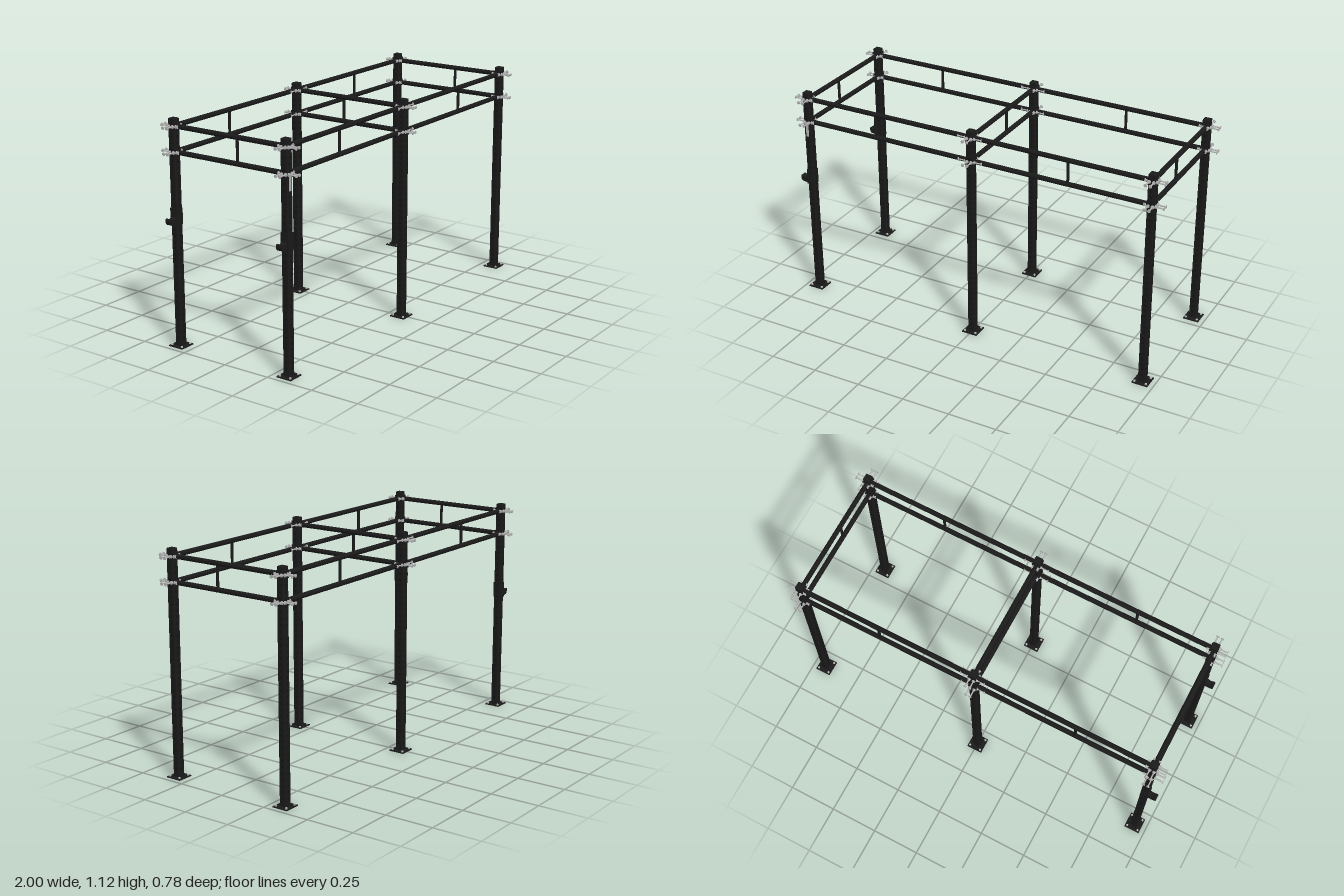
import * as THREE from 'three';
import { mergeGeometries } from 'three/addons/utils/BufferGeometryUtils.js';
import { RoundedBoxGeometry } from 'three/addons/geometries/RoundedBoxGeometry.js';

const PX = [-0.935, 0, 0.935], PZ = [0.324, -0.324];
const LEVELS = [1.082, 0.959];
const POST = 0.037, PIPE = 0.012, H = 1.12;

export function createModel() {
  const root = new THREE.Group();
  root.name = 'pullUpRig';
  const black = new THREE.MeshStandardMaterial({ color: 0x1a1a1a });
  black.name = 'blackPowderCoat';
  const dark = new THREE.MeshStandardMaterial({ color: 0x131313 });
  dark.name = 'darkHole';
  const steel = new THREE.MeshStandardMaterial({ color: 0xb4b4b4 });
  steel.name = 'zincSteel';

  const add = (name, geo, mat, x = 0, y = 0, z = 0, parent = root) => {
    const m = new THREE.Mesh(geo, mat);
    m.name = name;
    m.position.set(x, y, z);
    parent.add(m);
    return m;
  };
  const box = (w, h, d, x = 0, y = 0, z = 0) => new THREE.BoxGeometry(w, h, d).translate(x, y, z);
  const pipe = (r, len) => new THREE.CylinderGeometry(r, r, len, 20);

  // One row of adjustment holes on the +x face of a post
  const holeRow = (rise) => {
    const holes = [];
    for (let y = 0.045; y < 1.05; y += 0.03) {
      holes.push(new THREE.CylinderGeometry(0.007, 0.007, 0.004, 10)
        .rotateZ(Math.PI / 2).translate(POST / 2 + rise - 0.002, y, 0));
    }
    return mergeGeometries(holes);
  };
  const raisedHoles = holeRow(0.0025), flushHoles = holeRow(0.0005);

  // Floor anchors at the plate corners
  const anchors = [];
  for (const sx of [-1, 1]) for (const sz of [-1, 1]) {
    anchors.push(new THREE.CylinderGeometry(0.006, 0.006, 0.007, 6).translate(sx * 0.03, 0.008, sz * 0.03));
  }
  const anchorGeo = mergeGeometries(anchors);

  // Pair of bolts along +x with washer, nut and end head
  const boltPair = (reach) => {
    const parts = [];
    for (const s of [-1, 1]) {
      const disc = (r, len, x, n) =>
        parts.push(new THREE.CylinderGeometry(r, r, len, n).rotateZ(Math.PI / 2).translate(x, 0, s * 0.0115));
      disc(0.0035, reach, reach / 2, 10);
      disc(0.0088, 0.003, 0.0215, 14);
      disc(0.0072, 0.006, 0.026, 6);
      disc(0.0082, 0.004, reach - 0.002, 12);
    }
    return mergeGeometries(parts);
  };
  const longBolts = boltPair(0.065), shortBolts = boltPair(0.036);

  const postGeo = new RoundedBoxGeometry(POST, H, POST, 2, 0.004).translate(0, H / 2, 0);
  const footGeo = box(0.082, 0.005, 0.082, 0, 0.0025, 0);
  const flangeGeo = box(0.004, 0.036, POST + 0.002, POST / 2 + 0.001, 0, 0);
  const up = new THREE.Vector3(0, 1, 0);

  // Uprights with feet, holes and joint hardware
  for (const x of PX) for (const z of PZ) {
    const post = new THREE.Group();
    post.name = 'upright';
    post.position.set(x, 0, z);
    root.add(post);
    add('post', postGeo, black, 0, 0, 0, post);
    add('footPlate', footGeo, black, 0, 0, 0, post);
    add('floorAnchors', anchorGeo, steel, 0, 0, 0, post);

    for (let d = 0; d < 4; d++) {
      const turn = d * Math.PI / 2;
      const dir = new THREE.Vector3(1, 0, 0).applyAxisAngle(up, turn);
      const outward = dir.x * x + dir.z * z > 0.01;
      const long = outward || (x === 0 && Math.abs(dir.x) > 0.5);
      add('postHoles', outward ? flushHoles : raisedHoles, dark, 0, 0, 0, post).rotation.y = turn;
      for (const y of LEVELS) {
        add('jointBolts', long ? longBolts : shortBolts, steel, 0, y, 0, post).rotation.y = turn;
        // Flange plate where a beam meets the post
        if (!outward) add('beamFlange', flangeGeo, black, 0, y, 0, post).rotation.y = turn;
      }
    }
  }

  // Round long beams and their struts
  const midY = (LEVELS[0] + LEVELS[1]) / 2;
  const strutGeo = pipe(0.007, LEVELS[0] - LEVELS[1] - PIPE);
  const longGeo = pipe(PIPE, 0.935 - POST).rotateZ(Math.PI / 2);
  const crossGeo = pipe(PIPE, 0.648 - POST).rotateX(Math.PI / 2);
  for (const z of PZ) {
    for (const s of [-1, 1]) for (const y of LEVELS) add('longBeam', longGeo, black, s * 0.4675, y, z);
    for (const x of [-0.536, 0.512]) add('longStrut', strutGeo, black, x, midY, z);
  }

  // Round cross beams and their struts
  for (const x of PX) {
    for (const y of LEVELS) add('crossBeam', crossGeo, black, x, y, 0);
    add('crossStrut', strutGeo, black, x, midY, x === 0 ? -0.03 : 0.05);
  }

  // Bar hooks wrapped round the right-hand end posts
  const s = new THREE.Shape();
  s.moveTo(0, 0.615);
  s.lineTo(-0.02, 0.614);
  s.lineTo(-0.036, 0.618);
  s.quadraticCurveTo(-0.046, 0.63, -0.042, 0.646);
  s.lineTo(-0.035, 0.648);
  s.quadraticCurveTo(-0.028, 0.641, -0.015, 0.641);
  s.lineTo(0, 0.648);
  const hookGeo = new THREE.ExtrudeGeometry(s, { depth: 0.03, bevelEnabled: false, curveSegments: 6 });
  hookGeo.translate(0, 0, -0.015);
  for (const z of PZ) {
    const hook = new THREE.Group();
    hook.name = 'barHook';
    hook.position.set(-0.935, 0, z);
    root.add(hook);
    add('hookBack', box(0.003, 0.08, 0.042, -0.0195, 0.65, 0), black, 0, 0, 0, hook);
    for (const k of [-1, 1]) add('hookCheek', box(0.038, 0.08, 0.003, -0.001, 0.65, k * 0.0198), black, 0, 0, 0, hook);
    add('hookArm', hookGeo, black, -0.02, 0, 0, hook);
  }

  // Slim steel plate on the front of one end post
  add('frontPlate', box(0.014, 0.075, 0.004), steel, -0.935, 0.92, 0.324 + POST / 2 + 0.002);

  return root;
}
